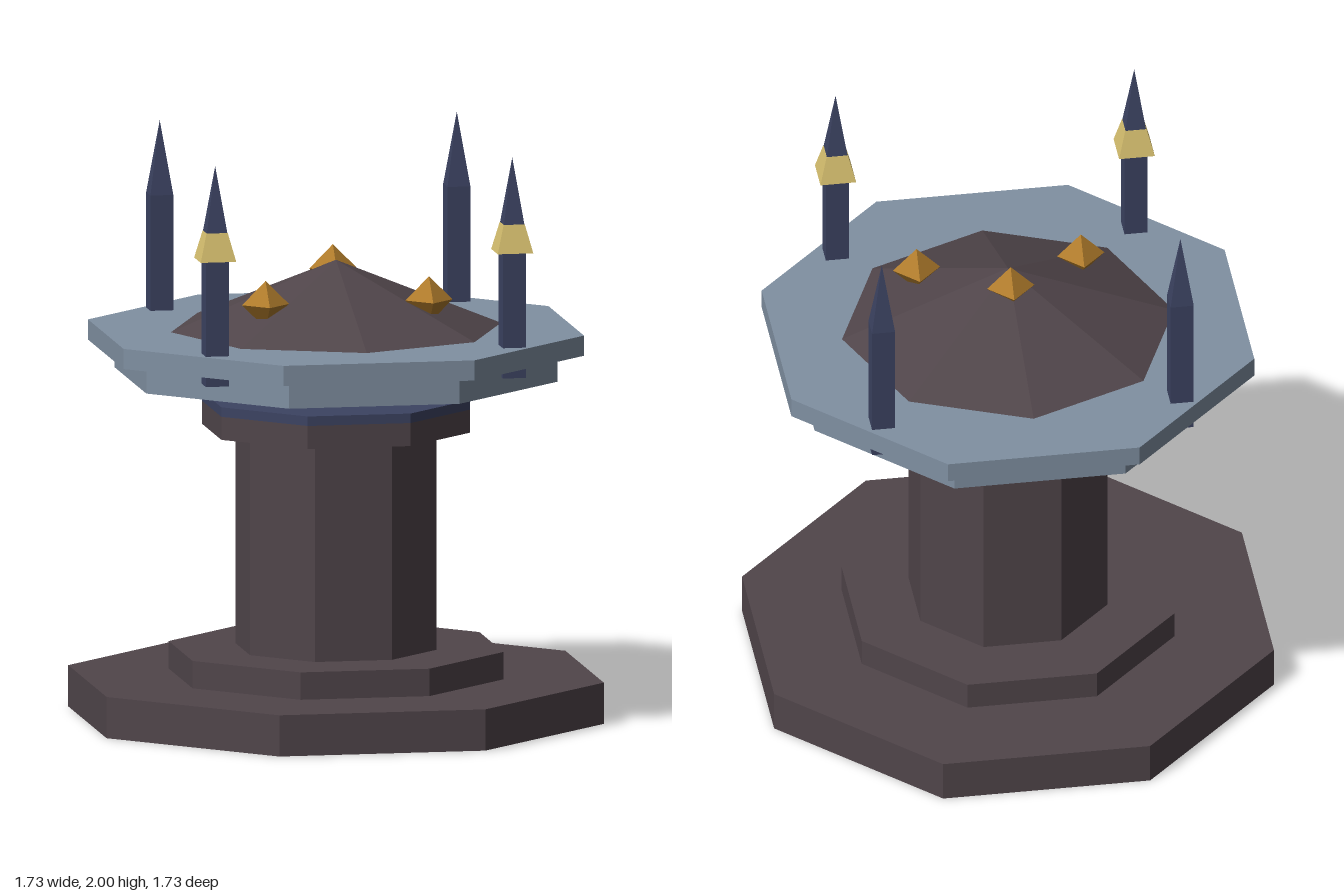
import * as THREE from 'three';

const mat = (name, color) => {
  const m = new THREE.MeshStandardMaterial({ color, flatShading: true });
  m.name = name;
  return m;
};

export function createModel() {
  const group = new THREE.Group();
  const brown = mat('dark brown stone', 0x50454a);
  const slate = mat('blue grey stone', 0x8090a2);
  const navy = mat('navy iron', 0x3c4362);
  const gold = mat('pale gold', 0xd8c170);
  const amber = mat('amber crystal', 0xb07c2c);

  const add = (name, geometry, material, x = 0, y = 0, z = 0) => {
    const mesh = new THREE.Mesh(geometry, material);
    mesh.name = name;
    mesh.position.set(x, y, z);
    group.add(mesh);
    return mesh;
  };

  // Regular prism or frustum with flat sides facing the axes; sizes are centre-to-side
  const prism = (name, material, sides, bottom, top, y0, y1, x = 0, z = 0) => {
    const k = 1 / Math.cos(Math.PI / sides);
    const g = new THREE.CylinderGeometry(top * k, bottom * k, y1 - y0, sides);
    g.rotateY(Math.PI / sides);
    return add(name, g, material, x, (y0 + y1) / 2, z);
  };

  // Stepped pedestal
  prism('basePlinth', brown, 8, 0.867, 0.867, 0, 0.143);
  prism('baseStep', brown, 8, 0.542, 0.542, 0.143, 0.238);
  prism('column', brown, 8, 0.325, 0.325, 0.238, 1.0);
  prism('columnCap', brown, 8, 0.433, 0.433, 0.995, 1.075);
  prism('capRim', navy, 8, 0.433, 0.433, 1.075, 1.108);

  // Floating basin
  prism('basinBottom', slate, 8, 0.717, 0.717, 1.182, 1.275);
  prism('basinRim', slate, 8, 0.803, 0.803, 1.275, 1.345);

  // Faceted mound, corners on the axes
  add('mound', new THREE.ConeGeometry(0.588, 0.24, 8), brown, 0, 1.46, 0);

  // Crystals on the mound
  for (const [x, y, z] of [[-0.285, 1.465, 0.21], [0.285, 1.465, 0.21], [0, 1.543, -0.06]]) {
    add('crystal', new THREE.OctahedronGeometry(0.082), amber, x, y, z);
  }

  // Corner posts with spikes; the front pair wears gold collars
  for (const x of [-0.518, 0.518]) {
    for (const z of [-0.518, 0.518]) {
      prism('post', navy, 4, 0.04, 0.04, 1.24, 1.745, x, z);
      prism('postSpike', navy, 4, 0.04, 0, 1.745, 2.0, x, z);
      if (z > 0) prism('postCollar', gold, 4, 0.062, 0.037, 1.675, 1.772, x, z);
    }
  }
  return group;
}
